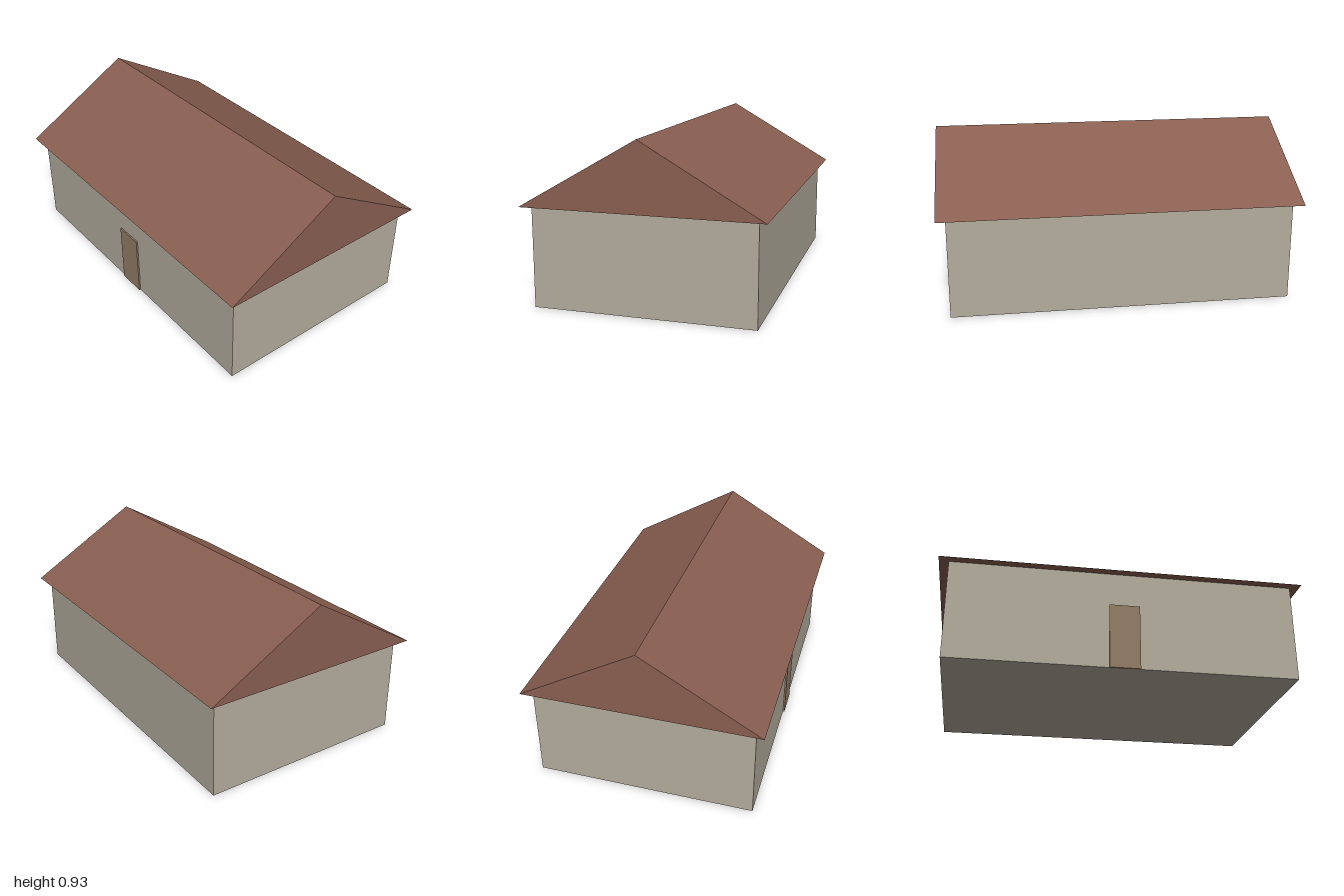
import * as THREE from 'three';

const material = (name, color) => {
  const m = new THREE.MeshStandardMaterial({ color });
  m.name = name;
  return m;
};

export function createModel() {
  const house = new THREE.Group();
  house.name = 'house';

  const wallPaint = material('warm grey wall', 0xb4ad9e);
  const roofTile = material('brick red roof', 0x8a5f51);
  const doorWood = material('brown door', 0x937e67);

  const wallHeight = 0.553, ridgeHeight = 0.93;
  const roofLength = 2, eaveZ = 0.655;

  const add = (name, geometry, mat, x, y, z) => {
    const mesh = new THREE.Mesh(geometry, mat);
    mesh.name = name;
    mesh.position.set(x, y, z);
    house.add(mesh);
    return mesh;
  };

  // Wall block
  add('walls', new THREE.BoxGeometry(1.896, wallHeight, 1.21), wallPaint, 0, wallHeight / 2, 0);

  // Gabled roof: a triangle extruded along x, with overhanging eaves
  const gable = new THREE.Shape([
    new THREE.Vector2(-eaveZ, 0),
    new THREE.Vector2(eaveZ, 0),
    new THREE.Vector2(0, ridgeHeight - wallHeight),
  ]);
  const roof = new THREE.ExtrudeGeometry(gable, { depth: roofLength, bevelEnabled: false });
  roof.translate(0, 0, -roofLength / 2).rotateY(Math.PI / 2);
  add('roof', roof, roofTile, 0, wallHeight, 0);

  // Front door, standing slightly proud of the wall
  add('door', new THREE.BoxGeometry(0.166, 0.363, 0.018), doorWood, 0, 0.1815, 0.605);

  return house;
}
